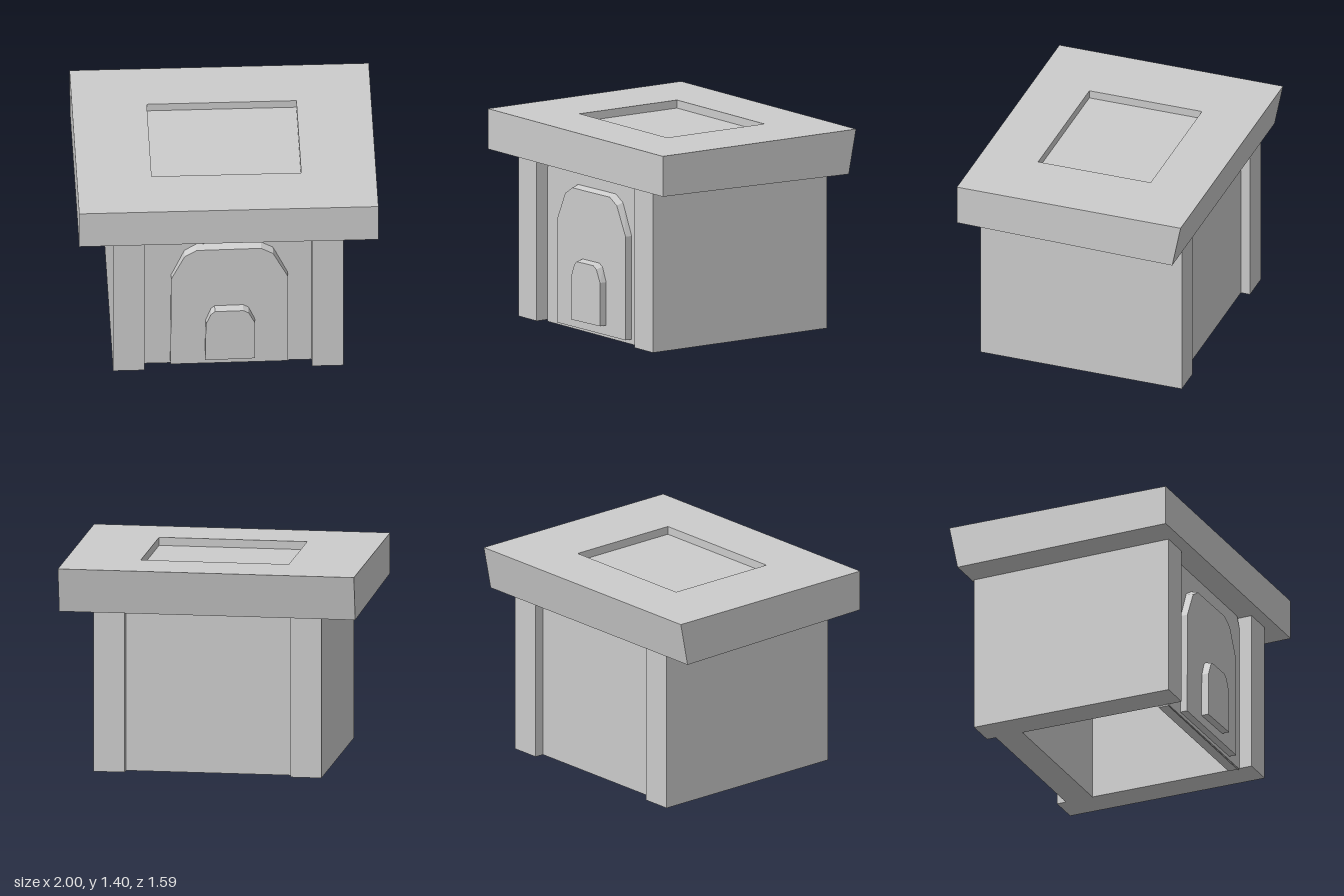
import * as THREE from 'three';

export function createModel() {
  const group = new THREE.Group();
  const material = new THREE.MeshStandardMaterial({ color: 0xcccccc, flatShading: true });

  const add = (name, geometry) => {
    geometry.computeVertexNormals();
    const mesh = new THREE.Mesh(geometry, material);
    mesh.name = name;
    group.add(mesh);
  };

  // Moves every vertex of a geometry by a rule
  const reshape = (geometry, rule) => {
    const p = geometry.attributes.position;
    const v = new THREE.Vector3();
    for (let i = 0; i < p.count; i++) {
      rule(v.fromBufferAttribute(p, i));
      p.setXYZ(i, v.x, v.y, v.z);
    }
    return geometry;
  };

  const box = (x0, x1, y0, y1, z0, z1) =>
    new THREE.BoxGeometry(x1 - x0, y1 - y0, z1 - z0)
      .translate((x0 + x1) / 2, (y0 + y1) / 2, (z0 + z1) / 2);

  const outline = (points) => new THREE.Shape(points.map(([x, y]) => new THREE.Vector2(x, y)));

  // Front-facing plate cut from an outline, between two depths
  const plate = (points, z0, z1) =>
    new THREE.ExtrudeGeometry(outline(points), { depth: z1 - z0, bevelEnabled: false })
      .translate(0, 0, z0);

  // Side walls, whose ends stand out as corner posts
  add('leftWall', box(0.56, 0.77, 0.015, 1.13, -0.72, 0.71));
  add('rightWall', box(-0.77, -0.56, 0.015, 1.13, -0.72, 0.71));

  // Recessed back wall
  add('backWall', box(-0.56, 0.56, 0.015, 1.12, -0.655, -0.46));

  // Recessed front wall with clipped upper corners
  add('frontWall', plate([[-0.56, 0.005], [0.56, 0.01], [0.56, 1.05], [0.52, 1.13],
    [-0.52, 1.13], [-0.56, 1.05]], 0.54, 0.62));

  // Sloping ledge inside the foot of the front wall
  add('innerLedge', new THREE.ExtrudeGeometry(
    outline([[-0.615, 0], [-0.46, 0.21], [-0.55, 0.21], [-0.615, 0.02]].reverse()),
    { depth: 1.13, bevelEnabled: false }).rotateY(Math.PI / 2).translate(-0.57, 0, 0));

  // Angled fillets in the inner front corners
  for (const s of [-1, 1]) {
    add(s > 0 ? 'leftCornerFillet' : 'rightCornerFillet', new THREE.ExtrudeGeometry(
      outline([[s * 0.56, -0.46], [s * 0.56, -0.54], [s * 0.43, -0.54]]),
      { depth: 0.92, bevelEnabled: false }).rotateX(-Math.PI / 2).translate(0, 0.2, 0));
  }

  // Large arched surround; its top edge slopes forward
  add('archSurround', reshape(plate([[-0.385, 0.03], [0.4, 0.035], [0.4, 0.74], [0.3, 0.935],
    [0.22, 0.98], [-0.21, 0.975], [-0.29, 0.925], [-0.38, 0.74]], 0.61, 0.67),
  (v) => { if (v.y > 0.9 && v.z < 0.64) v.y += 0.02; }));

  // Small arched door
  add('archDoor', reshape(plate([[-0.155, 0.093], [0.178, 0.1], [0.178, 0.395], [0.135, 0.48],
    [0.1, 0.5], [-0.09, 0.497], [-0.115, 0.475], [-0.15, 0.395]], 0.66, 0.72),
  (v) => { if (v.y > 0.45 && v.z < 0.69) v.y += 0.015; }));

  // Roof slab: back face leans in, underside drops toward the back
  const lean = (v) => { if (v.z < -0.7) v.z = -0.795 + (1.4 - v.y) * 0.2; };
  add('roofSlab', reshape(box(-1, 1, 1.125, 1.345, -0.795, 0.795), (v) => {
    if (v.y < 1.2 && v.z < 0) v.y = 1.1;
    lean(v);
  }));

  // Roof rim around a shallow sunken panel
  const rect = (x, z) => [[-x, -z], [x, -z], [x, z], [-x, z]];
  const rim = outline(rect(1, 0.795));
  rim.holes.push(outline(rect(0.5, 0.4)));
  add('roofRim', reshape(new THREE.ExtrudeGeometry(rim, { depth: 0.055, bevelEnabled: false })
    .rotateX(-Math.PI / 2).translate(0, 1.345, 0), lean));

  return group;
}
